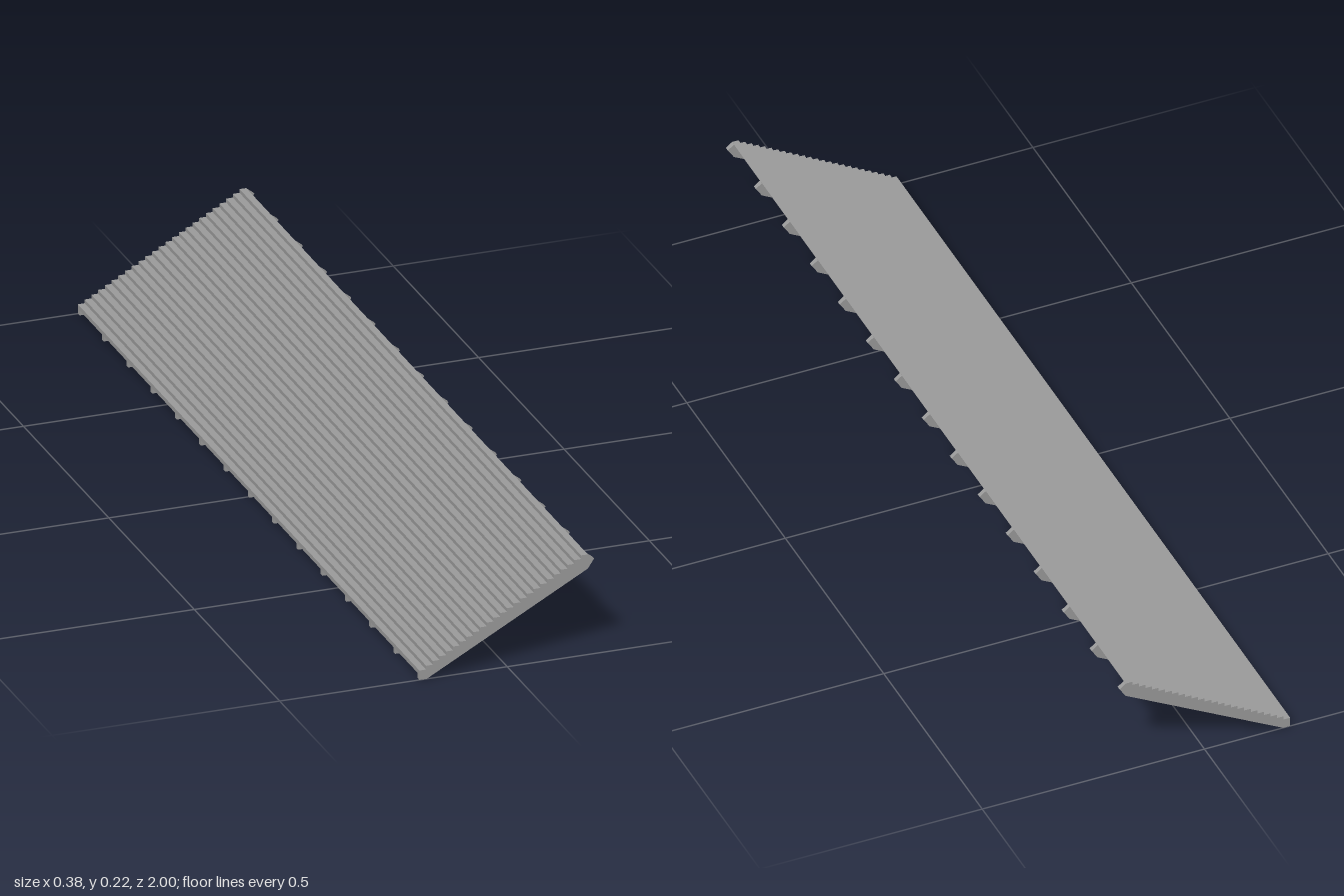
import * as THREE from 'three';

const STEPS = 25, STRINGERS = 15, LENGTH = 2, THICK = 0.01;
const X0 = -0.193, X1 = 0.177, Y0 = 0.0125, Y1 = 0.225;

// Extrude an x/y outline along z, centred on z
function extrude(points, depth, material, name, z = 0) {
  const shape = new THREE.Shape(points.map(([x, y]) => new THREE.Vector2(x, y)));
  const geometry = new THREE.ExtrudeGeometry(shape, { depth, bevelEnabled: false });
  geometry.translate(0, 0, -depth / 2);
  const mesh = new THREE.Mesh(geometry, material);
  mesh.name = name;
  mesh.position.z = z;
  return mesh;
}

export function createModel() {
  const group = new THREE.Group();
  group.name = 'wideStaircase';
  const grey = new THREE.MeshStandardMaterial({ color: 0x999999 });
  grey.name = 'grey';

  // Stepped deck with a flat sloping underside
  const run = (X1 - X0) / STEPS, rise = (Y1 - Y0) / STEPS;
  const profile = [[X1, Y1 - 0.001], [X1, Y1]];
  for (let i = STEPS - 1; i >= 0; i--) {
    const x = X0 + i * run, y = Y0 + i * rise;
    profile.push([x, y + rise]);
    profile.push([x, i ? y + 0.0002 : y - 0.001]);
  }
  group.add(extrude(profile, LENGTH, grey, 'steps'));

  // Evenly spaced sloping stringers beneath the deck
  const outline = [
    [X0, 0], [-0.177, 0], [0.177, 0.193], [0.191, 0.214], [X1, Y1 - 0.0003], [X0, Y0 - 0.0003],
  ];
  for (let i = 0; i < STRINGERS; i++) {
    const z = (i / (STRINGERS - 1) - 0.5) * (LENGTH - THICK);
    group.add(extrude(outline, THICK, grey, 'stringer' + (i + 1), z));
  }
  return group;
}
